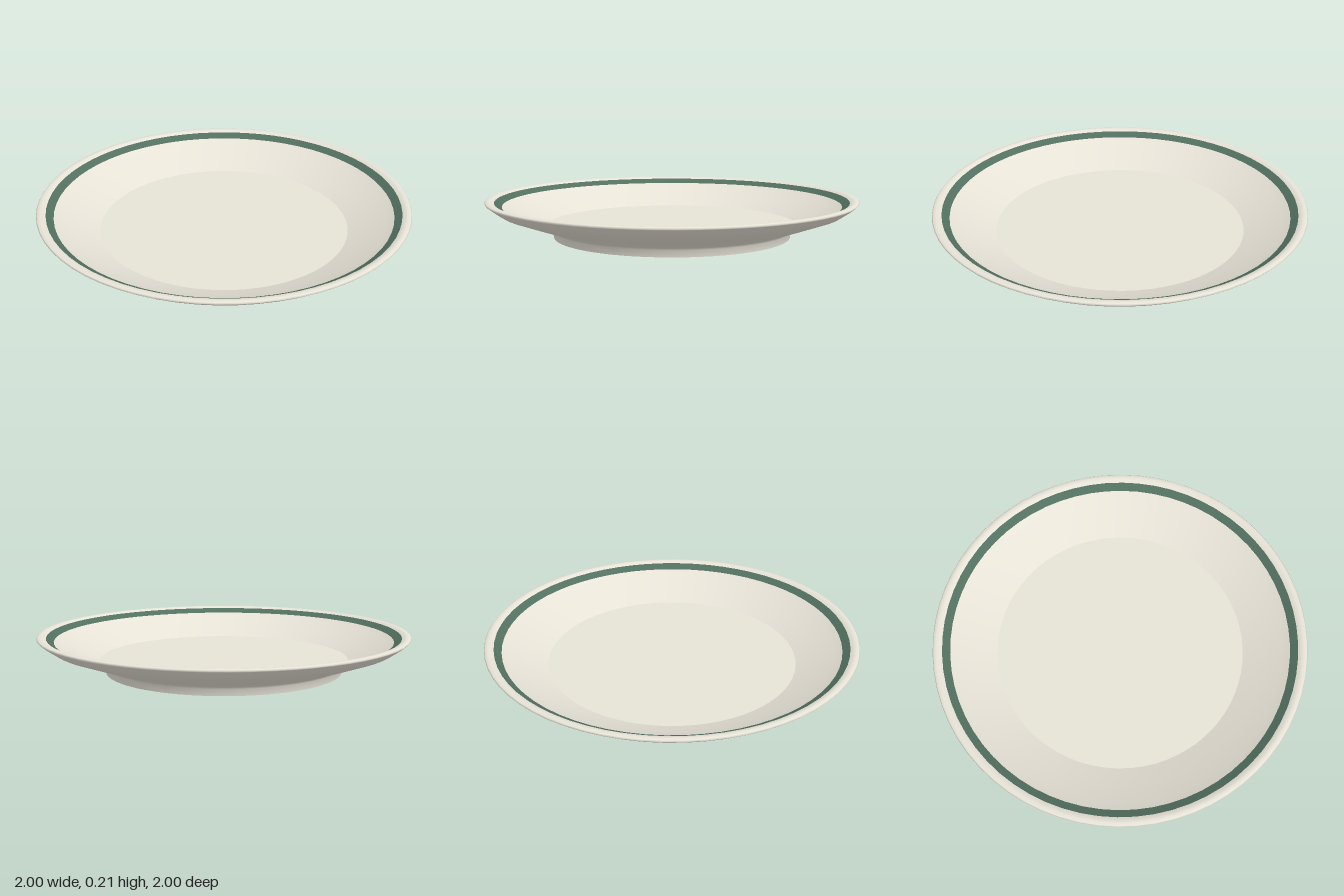
import * as THREE from 'three';

const SEGMENTS = 64;

const glaze = new THREE.MeshStandardMaterial({ color: 0xe6e2d6 });
glaze.name = 'cream glaze';
const green = new THREE.MeshStandardMaterial({ color: 0x527060 });
green.name = 'green band';

// Revolves [radius, height] points; points run up the outside and down the inside.
function turned(name, material, points) {
  const profile = points.map(([r, y]) => new THREE.Vector2(r, y));
  const mesh = new THREE.Mesh(new THREE.LatheGeometry(profile, SEGMENTS), material);
  mesh.name = name;
  return mesh;
}

// Flat disc facing up or down.
function disc(name, radius, y, up) {
  const geometry = new THREE.CircleGeometry(radius, SEGMENTS);
  geometry.rotateX(up ? -Math.PI / 2 : Math.PI / 2);
  geometry.translate(0, y, 0);
  const mesh = new THREE.Mesh(geometry, glaze);
  mesh.name = name;
  return mesh;
}

export function createModel() {
  const plate = new THREE.Group();
  plate.name = 'plate';

  plate.add(
    // Underside: recessed base and foot ring
    disc('recessedBase', 0.565, 0.027, false),
    turned('footInnerWall', glaze, [[0.565, 0.027], [0.565, 0]]),
    turned('footRing', glaze, [[0.565, 0], [0.638, 0]]),

    // Outer wall sweeping from the foot to the rounded lip
    turned('outerWall', glaze, [
      [0.638, 0], [0.643, 0.035], [0.655, 0.048], [0.79, 0.094],
      [0.92, 0.14], [0.965, 0.17], [0.995, 0.192],
    ]),
    turned('lip', glaze, [
      [0.995, 0.192], [1, 0.198], [0.995, 0.204], [0.98, 0.207],
      [0.965, 0.205], [0.95, 0.197],
    ]),

    // Painted band just inside the lip
    turned('paintedBand', green, [[0.95, 0.197], [0.91, 0.174]]),

    // Sloping inside and flat well
    turned('innerWall', glaze, [
      [0.91, 0.174], [0.87, 0.152], [0.77, 0.106], [0.67, 0.065],
    ]),
    disc('well', 0.67, 0.065, true),
  );
  return plate;
}
